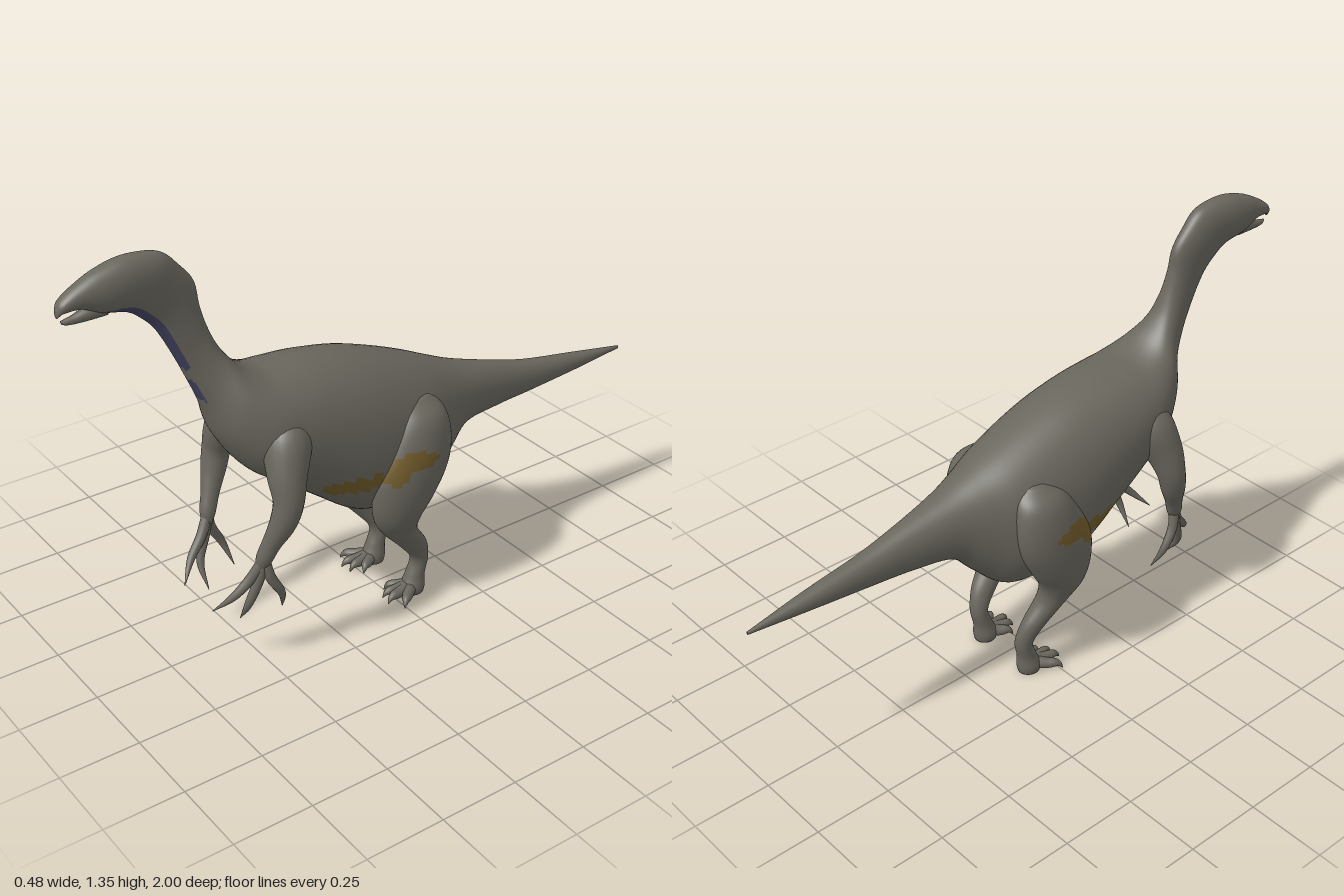
import * as THREE from 'three';

const mat = (name, color) => Object.assign(new THREE.MeshStandardMaterial({ color }), { name });
const hide = mat('greyHide', 0x69665d);
const blue = mat('blueThroat', 0x41425f);
const ochre = mat('ochrePatch', 0x6f5a2a);
const materials = [hide, blue, ochre];

const V = (x, y, z) => new THREE.Vector3(x, y, z);
const spline = (pts) => new THREE.CatmullRomCurve3(pts, false, 'catmullrom', 0.5);

// Skin closed rings into a capped smooth surface; paint(centre, angle) picks a material per face
function loft(name, rings, paint) {
  const n = rings[0].length, pos = [], faces = [[], [], []];
  rings.forEach((ring) => ring.forEach((p) => pos.push(p.x, p.y, p.z)));
  const at = (i, j) => i * n + (j % n);
  for (let i = 0; i < rings.length - 1; i++) {
    for (let j = 0; j < n; j++) {
      const centre = rings[i][j].clone().add(rings[i + 1][(j + 1) % n]).multiplyScalar(0.5);
      const k = paint ? paint(centre, ((j + 0.5) / n) * Math.PI * 2) : 0;
      faces[k].push(at(i, j), at(i, j + 1), at(i + 1, j), at(i, j + 1), at(i + 1, j + 1), at(i + 1, j));
    }
  }
  // end caps
  [0, rings.length - 1].forEach((i, end) => {
    const c = rings[i].reduce((s, p) => s.add(p), V(0, 0, 0)).divideScalar(n);
    const id = pos.length / 3;
    pos.push(c.x, c.y, c.z);
    for (let j = 0; j < n; j++) {
      if (end) faces[0].push(id, at(i, j), at(i, j + 1));
      else faces[0].push(id, at(i, j + 1), at(i, j));
    }
  });
  const g = new THREE.BufferGeometry();
  g.setAttribute('position', new THREE.Float32BufferAttribute(pos, 3));
  g.setIndex(faces.flat());
  let start = 0;
  faces.forEach((f, k) => {
    if (f.length) g.addGroup(start, f.length, k);
    start += f.length;
  });
  g.computeVertexNormals();
  const mesh = new THREE.Mesh(g, paint ? materials : hide);
  mesh.name = name;
  return mesh;
}

// Round tapering tube through points [x, y, z, radius], mirrored by side
function taper(name, pts, side = 1, steps = 20, n = 14) {
  const curve = spline(pts.map((p) => V(p[0] * side, p[1], p[2])));
  const radius = spline(pts.map((p) => V(p[3], 0, 0)));
  const { normals, binormals, tangents } = curve.computeFrenetFrames(steps, false);
  const rings = tangents.map((_, i) => {
    const u = curve.getUtoTmapping(i / steps);
    const c = curve.getPoint(u), r = Math.max(radius.getPoint(u).x, 0.0008);
    return Array.from({ length: n }, (_, j) => {
      const a = (j / n) * Math.PI * 2;
      return c.clone().addScaledVector(normals[i], r * Math.cos(a)).addScaledVector(binormals[i], r * Math.sin(a));
    });
  });
  return loft(name, rings);
}

// Tail to beak: [x offset, top z, top y, bottom z, bottom y, half width]
const bodySections = [
  [0.02, -1, 0.57, -1, 0.56, 0.004],
  [0.02, -0.8, 0.603, -0.8, 0.546, 0.028],
  [0.018, -0.6, 0.637, -0.6, 0.53, 0.043],
  [0.014, -0.45, 0.677, -0.45, 0.52, 0.06],
  [0.008, -0.31, 0.72, -0.31, 0.5, 0.088],
  [0.004, -0.22, 0.757, -0.22, 0.415, 0.125],
  [0, -0.12, 0.802, -0.13, 0.338, 0.17],
  [0, 0, 0.85, 0, 0.33, 0.19],
  [0, 0.12, 0.888, 0.12, 0.352, 0.198],
  [0, 0.25, 0.911, 0.25, 0.445, 0.193],
  [0, 0.35, 0.918, 0.36, 0.53, 0.185],
  [0, 0.42, 0.925, 0.47, 0.61, 0.168],
  [-0.004, 0.485, 0.958, 0.55, 0.725, 0.125],
  [-0.01, 0.535, 1.02, 0.59, 0.84, 0.07],
  [-0.014, 0.565, 1.09, 0.632, 0.94, 0.045],
  [-0.017, 0.583, 1.16, 0.677, 1.04, 0.037],
  [-0.02, 0.593, 1.23, 0.72, 1.12, 0.037],
  [-0.022, 0.632, 1.285, 0.765, 1.168, 0.042],
  [-0.023, 0.69, 1.338, 0.8, 1.192, 0.047],
  [-0.025, 0.79, 1.351, 0.84, 1.203, 0.05],
  [-0.026, 0.875, 1.333, 0.88, 1.212, 0.045],
  [-0.027, 0.94, 1.303, 0.93, 1.236, 0.034],
  [-0.028, 0.985, 1.273, 0.98, 1.237, 0.024],
  [-0.028, 1, 1.25, 0.998, 1.225, 0.009],
];

const inEllipse = (p, z, y, rz, ry) => ((p.z - z) / rz) ** 2 + ((p.y - y) / ry) ** 2 < 1;

function bodyPaint(p, angle) {
  const under = Math.abs(angle - Math.PI * 1.5);
  if (p.z > 0.55 && p.z < 0.9) {
    if (p.y > 0.98 && p.y < 1.22 && under < 0.75) return 1;
    if (p.y > 0.87 && p.y < 0.94 && under < 0.6) return 1;
  }
  return inEllipse(p, 0.19, 0.52, 0.1, 0.032) ? 2 : 0;
}

function makeBody() {
  const top = spline(bodySections.map((s) => V(s[0], s[2], s[1])));
  const low = spline(bodySections.map((s) => V(s[5], s[4], s[3])));
  const steps = 161, n = 56, rings = [];
  for (let i = 0; i <= steps; i++) {
    const t = top.getPoint(i / steps), b = low.getPoint(i / steps);
    const round = (v) => Math.sign(v) * Math.abs(v) ** 0.92;
    rings.push(Array.from({ length: n }, (_, j) => {
      const a = (j / n) * Math.PI * 2;
      const h = 0.5 + 0.5 * round(Math.sin(a));
      return V(t.x + b.x * round(Math.cos(a)), b.y + (t.y - b.y) * h, b.z + (t.z - b.z) * h);
    }));
  }
  return loft('bodyNeckAndTail', rings, bodyPaint);
}

// Leg from hip to sole: [x, y, z, half width, half depth]
const legSections = [
  [0.11, 0.73, -0.06, 0.04, 0.05],
  [0.14, 0.68, -0.06, 0.07, 0.09],
  [0.16, 0.6, -0.045, 0.074, 0.118],
  [0.166, 0.51, -0.02, 0.074, 0.13],
  [0.163, 0.42, 0.005, 0.07, 0.11],
  [0.152, 0.345, 0.02, 0.062, 0.08],
  [0.137, 0.28, 0.0, 0.048, 0.058],
  [0.122, 0.2, -0.062, 0.036, 0.047],
  [0.11, 0.13, -0.097, 0.029, 0.03],
  [0.107, 0.07, -0.084, 0.031, 0.032],
  [0.107, 0.03, -0.075, 0.038, 0.04],
  [0.107, 0.006, -0.075, 0.034, 0.036],
];

function thighPaint(p) {
  const outer = Math.abs(p.x) > 0.16;
  return outer && (inEllipse(p, 0.01, 0.565, 0.075, 0.032) || inEllipse(p, 0.075, 0.53, 0.035, 0.03)) ? 2 : 0;
}

function makeLeg(side) {
  const leg = new THREE.Group();
  const centre = spline(legSections.map((s) => V(s[0] * side, s[1], s[2])));
  const size = spline(legSections.map((s) => V(s[3], 0, s[4])));
  const rings = [];
  for (let i = 0; i <= 66; i++) {
    const c = centre.getPoint(i / 66), r = size.getPoint(i / 66);
    rings.push(Array.from({ length: 40 }, (_, j) => {
      const a = (j / 40) * Math.PI * 2;
      return V(c.x + r.x * Math.cos(a), c.y, c.z + r.z * Math.sin(a));
    }));
  }
  leg.add(loft('thighAndShin', rings, thighPaint));
  // four splayed toes ending in claws
  [[0.055, 0.0], [0.09, 0.03], [0.128, 0.037], [0.178, 0.008]].forEach(([x, z]) => {
    const mix = (a, b, t) => a + (b - a) * t;
    leg.add(taper('toe', [
      [0.107, 0.03, -0.07, 0.022],
      [mix(0.107, x, 0.5), 0.026, mix(-0.07, z, 0.5), 0.018],
      [mix(0.107, x, 0.76), 0.027, mix(-0.07, z, 0.76), 0.014],
      [mix(0.107, x, 0.9), 0.021, mix(-0.07, z, 0.9), 0.008],
      [x, 0.007, z, 0.001],
    ], side));
  });
  return leg;
}

function makeArm(side) {
  const arm = new THREE.Group();
  arm.add(taper('upperArmAndForearm', [
    [0.1, 0.79, 0.385, 0.05], [0.135, 0.73, 0.405, 0.072], [0.172, 0.65, 0.43, 0.06],
    [0.196, 0.575, 0.443, 0.046], [0.192, 0.51, 0.46, 0.04], [0.172, 0.44, 0.488, 0.029],
    [0.158, 0.385, 0.508, 0.025], [0.15, 0.35, 0.515, 0.015],
  ], side, 36, 22));
  // three long curved claws: knuckle, bend and tip
  [
    [[0.14, 0.32, 0.545], [0.122, 0.265, 0.595], [0.08, 0.21, 0.645]],
    [[0.152, 0.315, 0.525], [0.137, 0.23, 0.555], [0.09, 0.155, 0.557]],
    [[0.168, 0.32, 0.495], [0.168, 0.25, 0.458], [0.135, 0.175, 0.437]],
  ].forEach(([a, b, c]) => arm.add(taper('handClaw', [
    [0.158, 0.385, 0.508, 0.016], [...a, 0.016], [...b, 0.012], [...c, 0.001],
  ], side)));
  return arm;
}

export function createModel() {
  const model = new THREE.Group();
  model.name = 'longClawedDinosaur';
  model.add(makeBody());
  // lower jaw, leaving the beak slightly open
  model.add(taper('lowerJaw', [
    [-0.026, 1.222, 0.86, 0.024], [-0.026, 1.217, 0.91, 0.02],
    [-0.027, 1.21, 0.95, 0.013], [-0.028, 1.209, 0.978, 0.008], [-0.028, 1.214, 0.988, 0.002],
  ]));
  [['left', 1], ['right', -1]].forEach(([label, side]) => {
    const leg = makeLeg(side), arm = makeArm(side);
    leg.name = label + 'Leg';
    arm.name = label + 'Arm';
    model.add(leg, arm);
  });
  return model;
}
